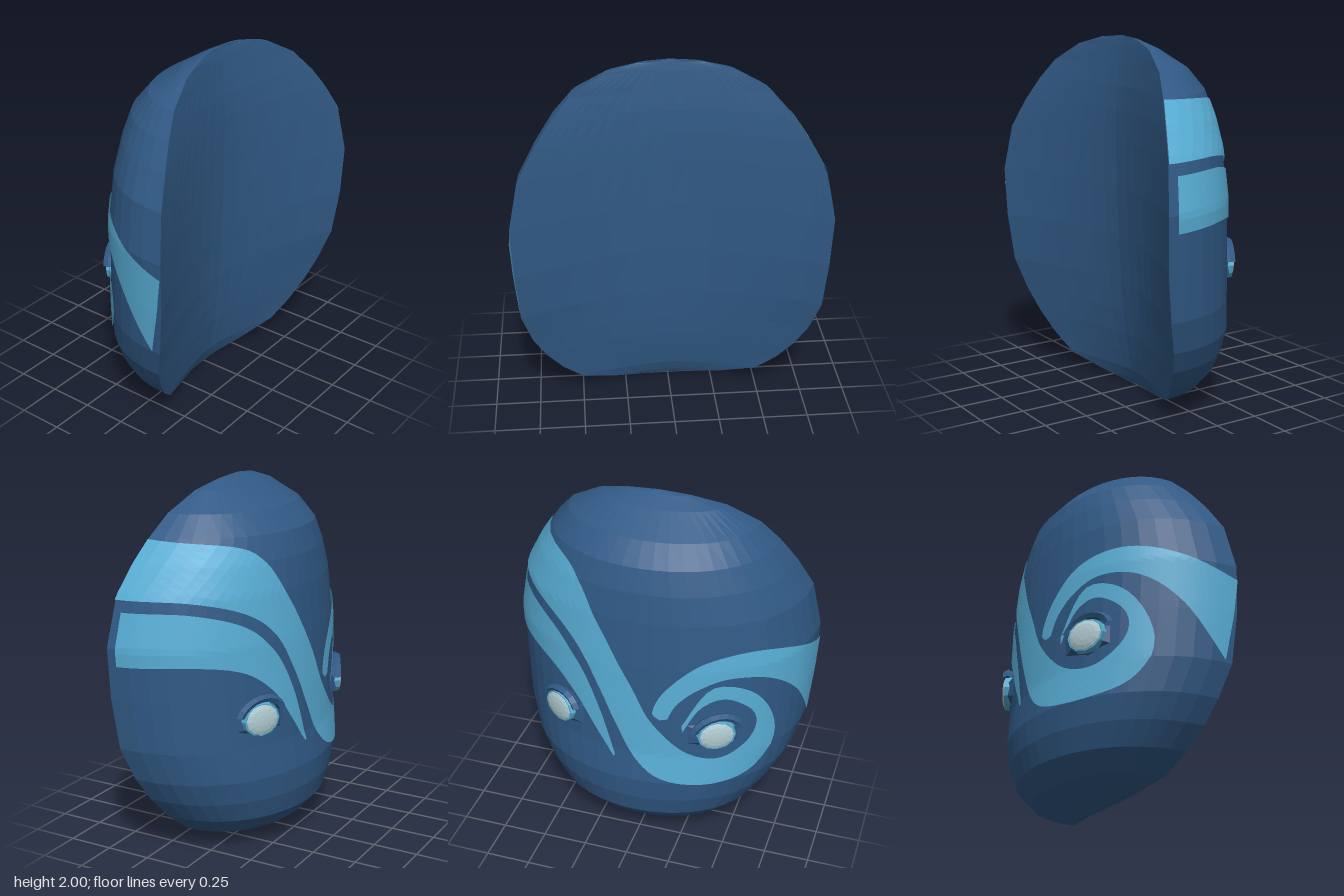
import * as THREE from 'three';

// Height sections: y, half width, rim z, face z on the centre line, inner z on the centre line
const ROWS = [
  [0, 0, 0, 0, 0], [0.005, 0.13, 0.015, -0.03, 0.005], [0.035, 0.3, 0.07, -0.13, 0.02],
  [0.1, 0.5, 0.15, -0.26, 0.045], [0.2, 0.61, 0.2, -0.35, 0.065], [0.32, 0.7, 0.25, -0.38, 0.085],
  [0.45, 0.77, 0.295, -0.39, 0.1], [0.63, 0.825, 0.35, -0.367, 0.115], [0.9, 0.845, 0.382, -0.36, 0.13],
  [1.18, 0.857, 0.39, -0.347, 0.14], [1.44, 0.805, 0.36, -0.325, 0.145], [1.6, 0.715, 0.315, -0.302, 0.145],
  [1.73, 0.625, 0.268, -0.265, 0.14], [1.84, 0.525, 0.222, -0.17, 0.13], [1.94, 0.35, 0.165, -0.005, 0.12],
  [1.985, 0.17, 0.125, 0.08, 0.113], [2, 0, 0.11, 0.11, 0.11],
];

function section(y) {
  let i = 1;
  while (i < ROWS.length - 1 && ROWS[i][0] < y) i++;
  const a = ROWS[i - 1], b = ROWS[i];
  const t = (y - a[0]) / (b[0] - a[0]);
  return a.map((v, k) => v + (b[k] - v) * t);
}

// Point on the outer face; u is the angle from the centre line, grow lifts it off the surface
function facePoint(u, y, grow = 1) {
  const [, w, rim, front] = section(y);
  const depth = Math.pow(Math.max(Math.cos(u), 0), 0.88);
  return [w * Math.sin(u) * grow, y, rim - (rim - front) * depth * grow];
}

function innerPoint(u, y) {
  const [, w, rim, , mid] = section(y);
  const s = Math.sin(u);
  return [w * s, y, mid + (rim - mid) * Math.pow(Math.abs(s), 1.6)];
}

const angleAt = (x, y) => Math.asin(THREE.MathUtils.clamp(x / section(y)[1], -1, 1));

// Surface from a rectangular grid of points
function gridGeometry(nu, nv, point, flip) {
  const pos = [], index = [];
  for (let j = 0; j <= nv; j++) for (let i = 0; i <= nu; i++) pos.push(...point(i, j));
  for (let j = 0; j < nv; j++) {
    for (let i = 0; i < nu; i++) {
      const a = j * (nu + 1) + i, b = a + 1, c = a + nu + 1, d = c + 1;
      if (flip) index.push(a, d, b, a, c, d);
      else index.push(a, b, d, a, d, c);
    }
  }
  const g = new THREE.BufferGeometry();
  g.setAttribute('position', new THREE.Float32BufferAttribute(pos, 3));
  g.setIndex(index);
  g.computeVertexNormals();
  return g;
}

// Painted band between two edges, each a short list of [x, y], laid on the face
function bandGeometry(edgeA, edgeB) {
  const [a, b] = [edgeA, edgeB].map((edge) => new THREE.SplineCurve(
    edge.map(([x, y]) => new THREE.Vector2(angleAt(x, y), y))));
  const n = 64, m = 8;
  return gridGeometry(m, n, (i, j) => {
    const p = a.getPoint(j / n).lerp(b.getPoint(j / n), i / m);
    return facePoint(THREE.MathUtils.clamp(p.x, -Math.PI / 2, Math.PI / 2), p.y, 1.01);
  });
}

export function createModel() {
  const group = new THREE.Group();
  const material = (name, color, side = THREE.FrontSide) => {
    const m = new THREE.MeshStandardMaterial({ color, flatShading: true, side });
    m.name = name;
    return m;
  };
  const navy = material('navy', 0x315a86);
  const sky = material('sky blue', 0x58aed6, THREE.DoubleSide);
  const pale = material('pale grey', 0xb4ced4);
  const add = (parent, name, geometry, mat) => {
    const mesh = new THREE.Mesh(geometry, mat);
    mesh.name = name;
    parent.add(mesh);
    return mesh;
  };

  // Mask shell: domed face and hollow inside sharing one rim
  const cols = 24, angle = (i, n) => (i / n - 0.5) * Math.PI;
  add(group, 'maskFace', gridGeometry(cols, ROWS.length - 1,
    (i, j) => facePoint(angle(i, cols), ROWS[j][0]), true), navy);
  add(group, 'maskInside', gridGeometry(cols, ROWS.length - 1,
    (i, j) => innerPoint(angle(i, cols), ROWS[j][0])), navy);

  // Long band: from the left rim across the nose and curling round the right eye
  add(group, 'swirlBand', bandGeometry(
    [[0.632, 1.72], [0.47, 1.69], [0.33, 1.6], [0.2, 1.39], [0.02, 1.08], [-0.1, 0.853], [-0.28, 0.67],
      [-0.455, 0.62], [-0.585, 0.7], [-0.63, 0.81], [-0.6, 0.92], [-0.48, 1.005], [-0.36, 0.955], [-0.27, 0.8]],
    [[0.807, 1.43], [0.71, 1.43], [0.5, 1.36], [0.32, 1.22], [0.19, 1.0], [0.09, 0.79], [-0.02, 0.59],
      [-0.18, 0.475], [-0.445, 0.45], [-0.635, 0.52], [-0.715, 0.74], [-0.625, 1.005], [-0.42, 1.08], [-0.265, 0.84]],
  ), sky);

  // Short band below it, tapering to a tip beside the nose
  add(group, 'cheekBand', bandGeometry(
    [[0.818, 1.37], [0.71, 1.37], [0.5, 1.29], [0.33, 1.13], [0.2, 0.89], [0.1, 0.59]],
    [[0.852, 1.09], [0.72, 1.1], [0.52, 1.05], [0.35, 0.92], [0.22, 0.74], [0.11, 0.58]],
  ), sky);

  // Band from the right rim arching over the right eye
  add(group, 'browBand', bandGeometry(
    [[-0.854, 1.1], [-0.745, 1.235], [-0.56, 1.275], [-0.35, 1.22], [-0.18, 1.065], [-0.11, 0.92], [-0.15, 0.87]],
    [[-0.825, 0.64], [-0.79, 0.935], [-0.675, 1.09], [-0.5, 1.13], [-0.35, 1.075], [-0.24, 0.98], [-0.19, 0.88]],
  ), sky);

  // Eyes, each turned to look along the face normal
  for (const side of [1, -1]) {
    const eye = new THREE.Group();
    eye.name = side > 0 ? 'leftEye' : 'rightEye';
    eye.position.set(...facePoint(angleAt(side * 0.44, 0.79), 0.79));
    eye.rotation.y = Math.PI - side * 0.5;
    group.add(eye);

    // Lids: a low angular mound, wide at the lower corners
    const lid = add(eye, 'eyeLid', new THREE.CylinderGeometry(0.1, 0.19, 0.05, 6), navy);
    lid.rotation.x = Math.PI / 2;
    lid.scale.set(1, 1, 0.68);
    lid.position.set(0, -0.01, -0.005);

    const ring = add(eye, 'eyeRing', new THREE.CylinderGeometry(0.105, 0.12, 0.07, 12), sky);
    ring.rotation.x = Math.PI / 2;
    ring.scale.z = 0.84;

    const lens = add(eye, 'eyeLens', new THREE.SphereGeometry(0.1, 12, 8), pale);
    lens.rotation.x = Math.PI / 2;
    lens.scale.set(1, 0.2, 0.86);
    lens.position.z = 0.03;

    // Brow ridge over the eye
    const brow = add(eye, 'browRidge', new THREE.TorusGeometry(0.125, 0.022, 5, 8, Math.PI * 0.8), navy);
    brow.rotation.z = Math.PI * 0.1;
    brow.scale.set(1.1, 0.85, 1.3);
    brow.position.z = 0.015;
  }
  return group;
}
